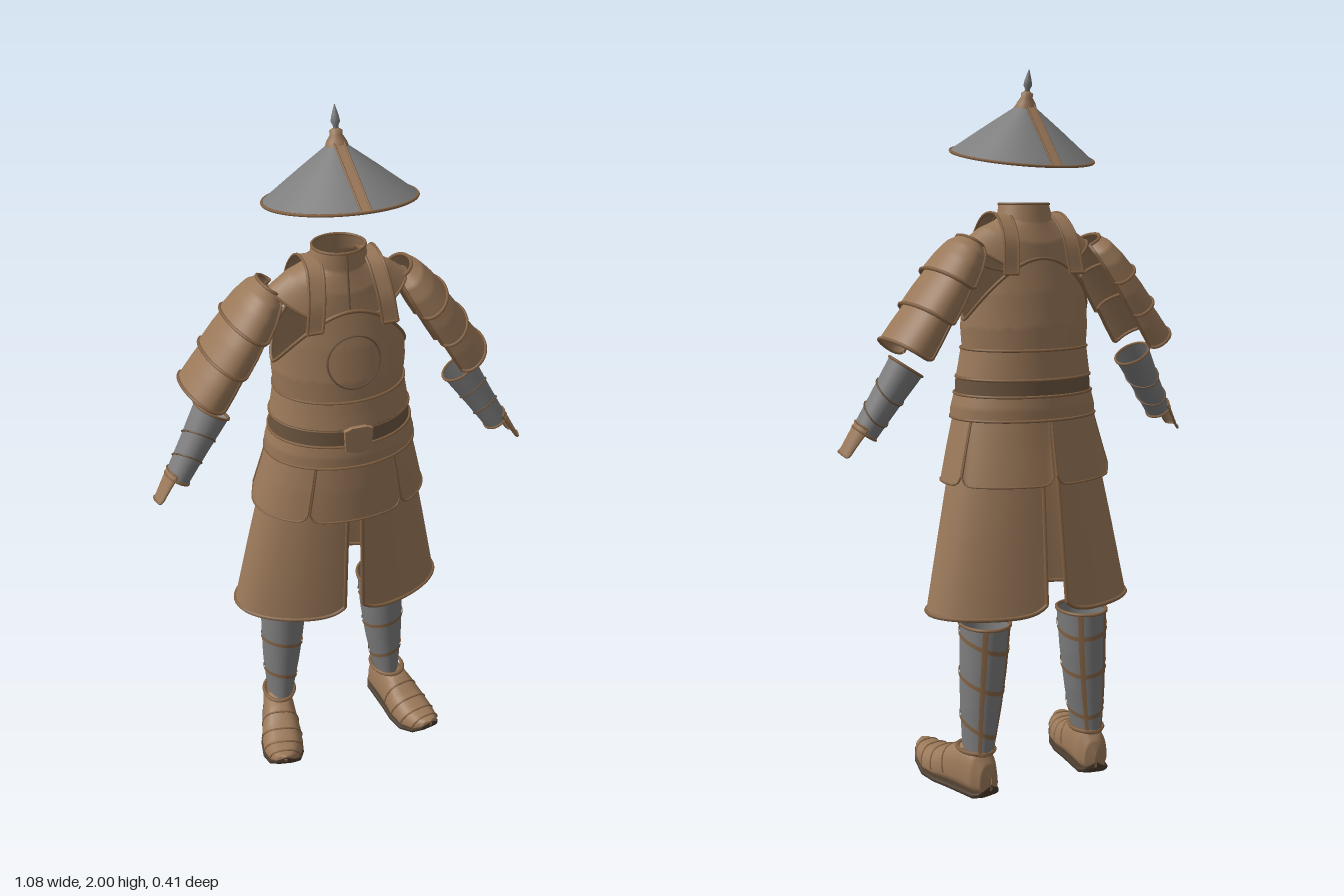
import * as THREE from 'three';
import { ParametricGeometry } from 'three/addons/geometries/ParametricGeometry.js';

const paint = (name, color) => {
  const m = new THREE.MeshStandardMaterial({ color, side: THREE.DoubleSide });
  m.name = name;
  return m;
};

export function createModel() {
  const leather = paint('leather', 0x9a7859);
  const band = paint('dark leather', 0x6c553f);
  const trim = paint('leather trim', 0x856344);
  const steel = paint('steel', 0x7d7d7d);
  const soleMat = paint('sole', 0x493a2c);
  const model = new THREE.Group();

  const part = (parent, name) => {
    const g = new THREE.Group();
    g.name = name;
    parent.add(g);
    return g;
  };
  const add = (parent, name, geo, mat) => {
    const m = new THREE.Mesh(geo, mat);
    m.name = name;
    parent.add(m);
    return m;
  };
  // raised cord along one line of a surface
  const cord = (parent, fn, n = 24, r = 0.004, mat = trim) => {
    const pts = Array.from({ length: n + 1 }, (_, i) => new THREE.Vector3(...fn(i / n)));
    add(parent, 'edgeTrim', new THREE.TubeGeometry(new THREE.CatmullRomCurve3(pts), n * 2, r, 6), mat);
  };
  // curved sheet f(u, v) with trim along the chosen edges (b, t, l, r)
  const sheet = (parent, name, mat, f, edges = '', nu = 40, nv = 16, r = 0.004) => {
    add(parent, name, new ParametricGeometry((u, v, p) => p.set(...f(u, v)), nu, nv), mat);
    if (edges.includes('b')) cord(parent, t => f(t, 0), nu, r);
    if (edges.includes('t')) cord(parent, t => f(t, 1), nu, r);
    if (edges.includes('l')) cord(parent, t => f(0, t), nv, r);
    if (edges.includes('r')) cord(parent, t => f(1, t), nv, r);
  };
  // evenly spaced rows of a table, blended
  const mix = (table, v) => {
    const k = Math.min(Math.max(v, 0), 1) * (table.length - 1);
    const i = Math.min(Math.floor(k), table.length - 2);
    return table[i].map((a, j) => a + (table[i + 1][j] - a) * (k - i));
  };
  // elliptical wrap; rings run bottom to top as [y, rx, rz, zc, xc]; angle 0 is the front, pi/2 is +x
  const wrap = (rings, a0 = 0, a1 = Math.PI * 2, corner = 0) => (u, v) => {
    const [y, rx, rz, zc = 0, xc = 0] = mix(rings, v);
    const a = a0 + (a1 - a0) * u;
    const lift = corner * Math.abs(2 * u - 1) ** 14 * (1 - v);
    return [xc + rx * Math.sin(a), y + lift, zc + rz * Math.cos(a)];
  };

  // ---- hat
  const hat = part(model, 'hat');
  hat.position.set(0, 1.775, 0.005);
  hat.rotation.x = -0.178;
  const lathe = (pts, n = 48) => new THREE.LatheGeometry(pts.map(p => new THREE.Vector2(...p)), n);
  add(hat, 'hatCone', lathe([[0.198, 0], [0.1, 0.076], [0.001, 0.15]], 64), steel);
  add(hat, 'hatRim', new THREE.TorusGeometry(0.197, 0.004, 6, 64), trim).rotation.x = Math.PI / 2;
  sheet(hat, 'hatStrap', leather, (u, v) => {
    const z = 0.198 * (1 - 2 * v);
    return [(u - 0.5) * 0.026, 0.004 + 0.15 * (1 - Math.abs(z) / 0.198), z];
  }, 'lr', 2, 24, 0.003);
  add(hat, 'finialBase', lathe([[0.03, 0.128], [0.026, 0.14], [0.016, 0.156], [0.017, 0.166], [0.008, 0.172]], 20), leather);
  add(hat, 'finialSpike', lathe([[0.007, 0.168], [0.007, 0.178], [0.012, 0.188], [0.009, 0.203], [0.001, 0.229]], 16), steel);

  // ---- collar and shoulder yoke
  const yoke = part(model, 'shoulderYoke');
  sheet(yoke, 'yoke', leather, (u, v) => {
    const a = u * Math.PI * 2, s = Math.sin(a) ** 2;
    const [y, rx, rz, zc] = mix([[1.46 + 0.085 * s, 0.19, 0.1, -0.012], [1.535 + 0.045 * s, 0.14, 0.09, -0.012],
      [1.59 + 0.015 * s, 0.08, 0.072, -0.01], [1.645, 0.07, 0.065, -0.005]], v);
    return [rx * Math.sin(a), y, zc + rz * Math.cos(a)];
  }, 'bt', 48, 18);
  cord(yoke, t => [0, 1.5 + 0.145 * t, 0.085 - 0.025 * t], 6, 0.003, band);

  // ---- breastplate and backplate
  const cuirass = part(model, 'cuirass');
  const body = y => mix([[0.178, 0.143], [0.186, 0.14], [0.181, 0.127], [0.168, 0.108]], (y - 1.22) / 0.28);
  sheet(cuirass, 'chestPlate', leather, (u, v) => {
    const a = u * Math.PI * 2;
    const y = 1.22 + v * (0.115 + 0.165 * Math.abs(Math.cos(a)) ** 1.4);
    const [rx, rz] = body(y);
    return [rx * Math.sin(a), y, -0.008 + rz * Math.cos(a)];
  }, 't', 72, 18, 0.005);
  const onChest = (r, a, lift) => {
    const x = r * Math.cos(a), y = 1.365 + r * Math.sin(a), [rx, rz] = body(y);
    return [x, y, -0.008 + rz * Math.sqrt(1 - (x / rx) ** 2) + lift];
  };
  sheet(cuirass, 'chestDisc', leather, (u, v) => onChest(0.072 * u, v * Math.PI * 2, 0.005), '', 6, 40);
  cord(cuirass, t => onChest(0.072, t * Math.PI * 2, 0.003), 40, 0.003, band);

  // ---- waist bands and buckle
  const waist = part(model, 'waist');
  sheet(waist, 'upperWaistBand', leather, wrap([[1.175, 0.196, 0.154, -0.002], [1.21, 0.19, 0.15, -0.004], [1.255, 0.183, 0.146, -0.006]]), 'bt', 56, 6);
  sheet(waist, 'belt', band, wrap([[1.115, 0.198, 0.156], [1.18, 0.196, 0.154]]), '', 56, 2);
  sheet(waist, 'lowerWaistBand', leather, wrap([[1.065, 0.213, 0.163], [1.09, 0.212, 0.163], [1.13, 0.201, 0.158]]), 'bt', 56, 6);
  const shield = new THREE.Shape([[-0.04, 0.03], [-0.02, 0.038], [0.02, 0.038], [0.04, 0.03], [0.036, -0.03], [0, -0.042], [-0.036, -0.03]]
    .map(p => new THREE.Vector2(...p)));
  add(waist, 'buckle', new THREE.ExtrudeGeometry(shield, { depth: 0.012, bevelEnabled: false }), leather).position.set(0, 1.15, 0.153);

  // ---- hip panels
  const hips = part(model, 'hipPanels');
  const hipRings = [[0.89, 0.25, 0.177, -0.012], [0.98, 0.228, 0.168, -0.005], [1.08, 0.203, 0.157, 0]];
  sheet(hips, 'frontHipPanel', leather, wrap(hipRings, -0.56, 0.56, 0.025), 'blr', 30, 12, 0.003);

  for (const side of [1, -1]) {
    const half = part(model, side > 0 ? 'leftSide' : 'rightSide');
    half.scale.x = side;

    sheet(half, 'sideHipPanel', leather, wrap(hipRings, 0.58, 1.95, 0.025), 'blr', 30, 12, 0.003);
    sheet(half, 'backHipPanel', leather, wrap(hipRings, 1.97, 3.12, 0.025), 'blr', 30, 12, 0.003);

    // long split skirt
    sheet(half, 'longSkirt', leather, wrap([[0.53, 0.31, 0.167, -0.033], [0.74, 0.267, 0.157, -0.022], [0.95, 0.222, 0.147, -0.01]],
      0.09, Math.PI - 0.1, 0.03), 'blr', 56, 20, 0.006);

    // shoulder strap
    const path = new THREE.CatmullRomCurve3([[0.103, 1.46, 0.112], [0.092, 1.54, 0.095], [0.082, 1.61, 0.045], [0.082, 1.618, -0.035],
      [0.09, 1.56, -0.1], [0.1, 1.46, -0.125]].map(p => new THREE.Vector3(...p)));
    sheet(half, 'shoulderStrap', leather, (u, v) => {
      const p = path.getPoint(v);
      return [p.x + (u - 0.5) * 0.042, p.y, p.z];
    }, 'lrbt', 2, 24);

    // upper arm plates, open toward the body
    const sleeve = part(half, 'upperArmArmour');
    sleeve.position.set(0.373, 1.257, -0.037);
    sleeve.rotation.z = 0.596;
    const lames = [
      [[0, 0.07, 0.112], [0.06, 0.066, 0.111], [0.125, 0.06, 0.106]],
      [[0.11, 0.07, 0.117], [0.17, 0.066, 0.114], [0.235, 0.058, 0.105]],
      [[0.22, 0.069, 0.115], [0.275, 0.062, 0.104], [0.32, 0.052, 0.084], [0.345, 0.036, 0.055]],
    ];
    for (const l of lames) sheet(sleeve, 'armPlate', leather, wrap(l, Math.PI / 2 - 2.1, Math.PI / 2 + 2.1, 0.012), 'blrt', 40, 10, 0.005);

    // bracer and hand guard
    const bracer = part(half, 'bracer');
    bracer.position.set(0.47, 1.04, 0.02);
    bracer.rotation.set(-0.15, 0, 0.561);
    sheet(bracer, 'forearmPlate', steel, wrap([[0, 0.034, 0.042], [0.1, 0.041, 0.047], [0.21, 0.051, 0.054]]), 'bt', 32, 8);
    for (const y of [0.06, 0.13]) {
      cord(bracer, t => {
        const a = t * Math.PI * 2, yy = y + 0.02 * Math.cos(a);
        return [(0.035 + yy * 0.076) * Math.sin(a), yy, (0.043 + yy * 0.055) * Math.cos(a)];
      }, 32, 0.0025, band);
    }
    sheet(bracer, 'handGuard', leather, wrap([[-0.078, 0.022, 0.036, 0, 0.008], [-0.03, 0.03, 0.039, 0, 0.004], [0.015, 0.037, 0.044, 0, 0]],
      Math.PI / 2 - 1.15, Math.PI / 2 + 1.15, 0.015), 'blrt', 20, 8, 0.003);

    // shin guard with slanted straps
    const shin = part(half, 'shinGuard');
    const shinRings = [[0.125, 0.038, 0.06, -0.06, 0.178], [0.25, 0.055, 0.068, -0.064, 0.17],
      [0.37, 0.064, 0.076, -0.066, 0.162], [0.492, 0.068, 0.083, -0.067, 0.156]];
    sheet(shin, 'shinPlate', steel, wrap(shinRings), 'bt', 40, 16, 0.005);
    const strapF = wrap(shinRings.map(([y, a, b, z, x]) => [y, a + 0.003, b + 0.003, z, x]));
    for (const c of [0.2, 0.55, 0.87]) {
      sheet(shin, 'shinStrap', trim, (u, v) => strapF(u, c + 0.07 * Math.sin(u * Math.PI * 2 + 0.9) + (v - 0.5) * 0.035), '', 40, 2);
    }
    for (const c of [0.42, 0.6]) sheet(shin, 'backStrip', trim, (u, v) => strapF(c + (u - 0.5) * 0.035, v), '', 3, 14);
    sheet(shin, 'kneeTab', leather, (u, v) => strapF(0.93 + u * 0.14, 0.93 + v * 0.07 - 0.02 * Math.abs(2 * u - 1)), 't', 8, 4);

    // boot: stations from heel to toe as [z, bottom, top, half width]
    const boot = part(half, 'boot');
    boot.position.x = 0.198;
    boot.rotation.y = 0.2;
    const stations = [[-0.135, 0.03, 0.06, 0.001], [-0.127, 0.014, 0.095, 0.03], [-0.105, 0.008, 0.128, 0.044], [-0.04, 0.008, 0.138, 0.05],
      [0.01, 0.008, 0.125, 0.055], [0.06, 0.008, 0.098, 0.062], [0.115, 0.01, 0.082, 0.06], [0.165, 0.03, 0.08, 0.046],
      [0.19, 0.052, 0.082, 0.028], [0.2, 0.068, 0.08, 0.001]];
    const bootF = (u, v) => {
      const [z, lo, hi, w] = mix(stations, v), a = u * Math.PI * 2, c = Math.cos(a), s = Math.sin(a);
      return [w * Math.sign(c) * Math.abs(c) ** 0.7, lo + (hi - lo) * (s > 0 ? 0.3 + 0.7 * s : 0.3 * (1 + s)), z];
    };
    sheet(boot, 'bootUpper', leather, bootF, '', 32, 36);
    sheet(boot, 'sole', soleMat, (u, v) => {
      const [z, lo, , w] = mix(stations, v), a = u * Math.PI * 2, c = Math.cos(a), s = Math.sin(a);
      return [(w + 0.003) * Math.sign(c) * Math.abs(c) ** 0.5, lo + 0.001 + 0.009 * Math.sign(s) * Math.abs(s) ** 0.5, z];
    }, '', 32, 36);
    for (const v of [0.46, 0.57, 0.67, 0.77]) cord(boot, t => bootF(t * 0.5, v + 0.04 * Math.sin(t * Math.PI)), 16, 0.003);
    const ankle = add(boot, 'ankleTrim', new THREE.TorusGeometry(0.047, 0.006, 6, 28), trim);
    ankle.rotation.x = Math.PI / 2;
    ankle.position.set(-0.005, 0.128, -0.058);
    ankle.scale.y = 1.3;
  }
  return model;
}
